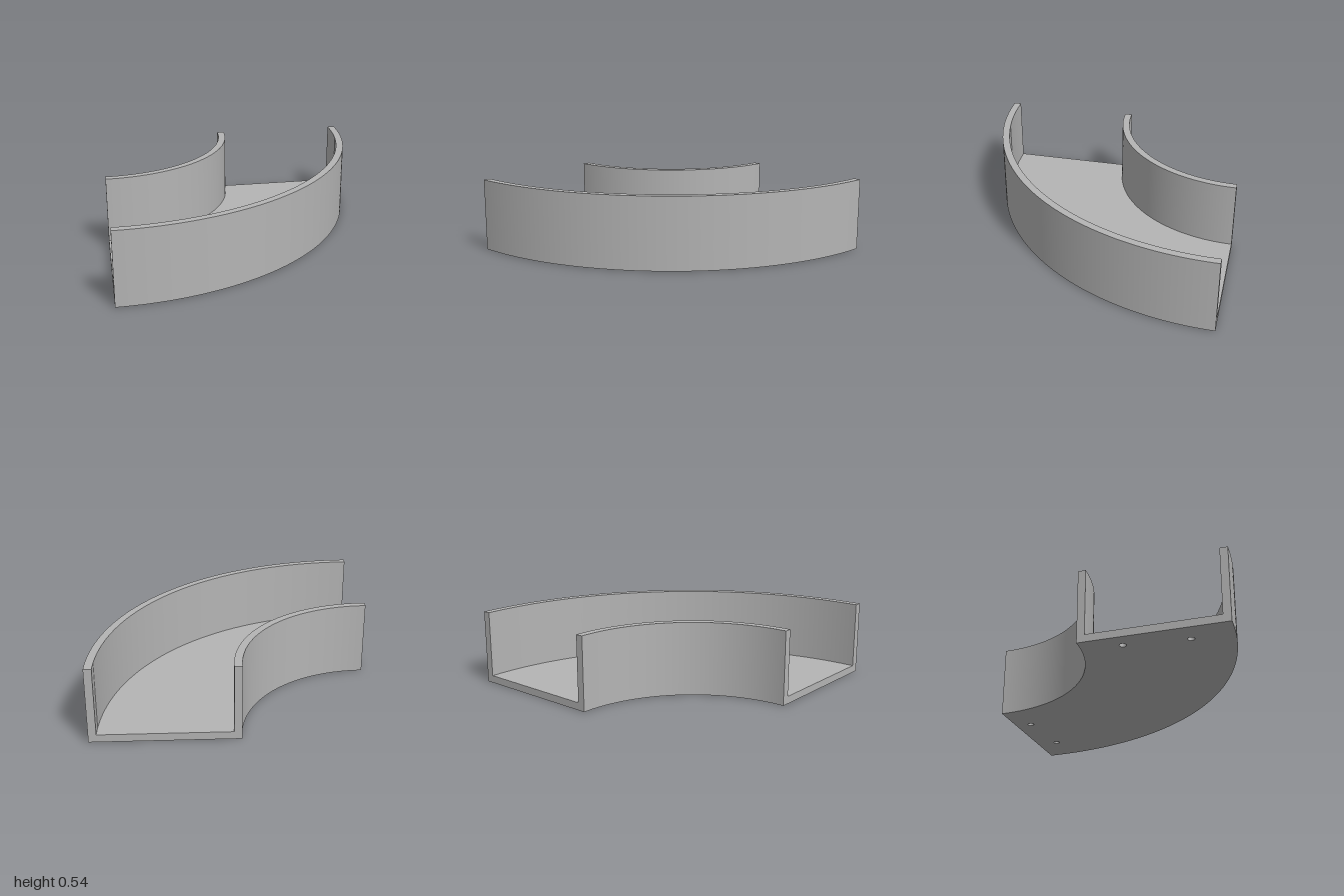
import * as THREE from 'three';

const INNER = 0.975, OUTER = 2, WALL = 0.055;
const HEIGHT = 0.54, FLOOR = 0.055, HOLE_DEPTH = 0.045;

// Quarter-ring outline around the bend's centre
function quarterRing(r0, r1) {
  const shape = new THREE.Shape();
  shape.moveTo(r0, 0);
  shape.lineTo(r1, 0);
  shape.absarc(0, 0, r1, 0, Math.PI / 2, false);
  shape.lineTo(0, r0);
  shape.absarc(0, 0, r0, Math.PI / 2, 0, true);
  return shape;
}

export function createModel() {
  const group = new THREE.Group();
  group.name = 'curvedChannel';
  const grey = new THREE.MeshStandardMaterial({ color: 0xb4b4b4 });
  grey.name = 'grey';

  // Extrude an outline upward from y0 to y1
  function slab(name, shape, y0, y1) {
    const geo = new THREE.ExtrudeGeometry(shape, {
      depth: y1 - y0, bevelEnabled: false, curveSegments: 48,
    });
    geo.rotateX(Math.PI / 2);
    geo.translate(-1, y1, -1);
    // Smooth the curved sides: radial normals, leaving the flat ends alone
    const p = geo.attributes.position, n = geo.attributes.normal;
    for (let i = 0; i < p.count; i++) {
      const x = p.getX(i) + 1, z = p.getZ(i) + 1, r = Math.hypot(x, z);
      const dot = (n.getX(i) * x + n.getZ(i) * z) / r;
      if (Math.abs(dot) > 0.999) n.setXYZ(i, Math.sign(dot) * x / r, 0, Math.sign(dot) * z / r);
    }
    const mesh = new THREE.Mesh(geo, grey);
    mesh.name = name;
    group.add(mesh);
  }

  // Side walls
  slab('innerWall', quarterRing(INNER, INNER + WALL), 0, HEIGHT);
  slab('outerWall', quarterRing(OUTER - WALL, OUTER), 0, HEIGHT);

  // Floor underside with two blind screw holes near each end
  const base = quarterRing(INNER + WALL, OUTER - WALL);
  for (const r of [1.26, 1.71]) {
    for (const a of [0.098, Math.PI / 2 - 0.098]) {
      const hole = new THREE.Path();
      hole.absarc(r * Math.cos(a), r * Math.sin(a), 0.024, 0, Math.PI * 2, true);
      base.holes.push(hole);
    }
  }
  slab('floorBase', base, 0, HOLE_DEPTH);

  // Closed floor surface above the holes
  slab('floorTop', quarterRing(INNER + WALL, OUTER - WALL), HOLE_DEPTH, FLOOR);

  return group;
}
